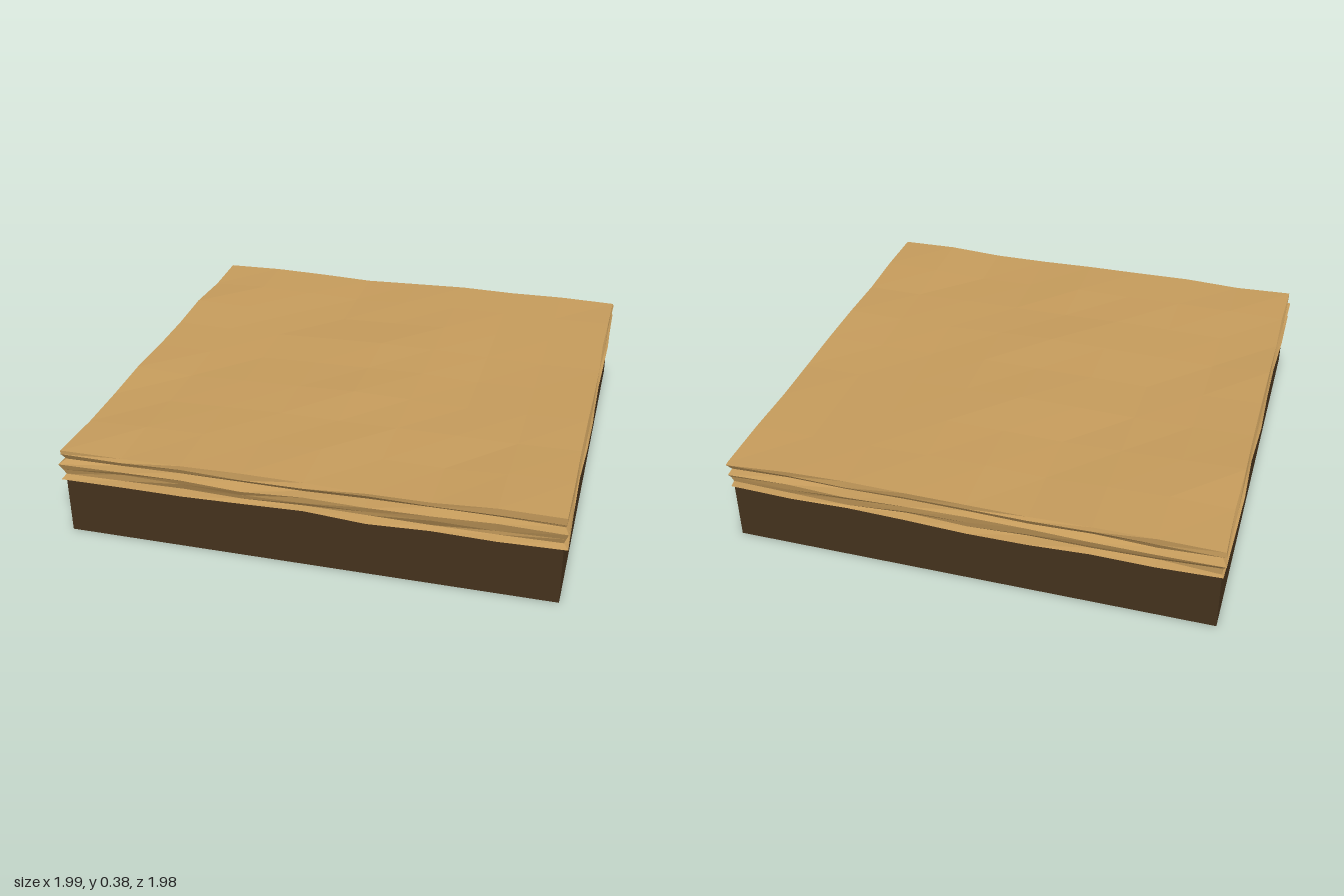
import * as THREE from 'three';

// Repeatable value in -1..1 for a lattice point
function hash(i, j, k) {
  const s = Math.sin(i * 127.1 + j * 311.7 + k * 74.7) * 43758.5453;
  return (s - Math.floor(s)) * 2 - 1;
}

const HALF = 0.975, CELLS = 8;
const ROW_Y = [0.242, 0.262, 0.285, 0.308, 0.33, 0.35, 0.37]; // height of each rock layer
const ROW_OUT = [0.012, -0.004, 0.004, 0.014, -0.004, 0.01, 0.005]; // ledges and grooves

// Layered sand slab: a subdivided box whose rim is pushed in and out row by row
function sandGeometry() {
  const rows = ROW_Y.length - 1;
  const geo = new THREE.BoxGeometry(2, 2, 2, CELLS, rows, CELLS);
  const pos = geo.attributes.position;
  for (let v = 0; v < pos.count; v++) {
    const x = pos.getX(v), z = pos.getZ(v);
    const i = Math.round((x + 1) * CELLS / 2);
    const k = Math.round((z + 1) * CELLS / 2);
    const j = Math.round((pos.getY(v) + 1) * rows / 2);
    const rimX = Math.abs(x) > 0.99 ? Math.sign(x) : 0;
    const rimZ = Math.abs(z) > 0.99 ? Math.sign(z) : 0;
    const out = ROW_OUT[j] + 0.005 * hash(i, j, k);
    // Low dunes on top, slight tilt in the layers below
    const dune = 0.005 * Math.sin(i * 1.25 + k * 0.5 + 0.6) + 0.005 * hash(i, 9, k);
    const y = ROW_Y[j] + (j === rows ? dune : 0.007 * hash(i, j + 20, k));
    pos.setXYZ(v, x * HALF + rimX * out, y, z * HALF + rimZ * out);
  }
  geo.computeVertexNormals();
  return geo;
}

export function createModel() {
  const group = new THREE.Group();
  group.name = 'sandTile';

  // Plain dark earth block
  const base = new THREE.Mesh(
    new THREE.BoxGeometry(HALF * 2, 0.25, HALF * 2),
    new THREE.MeshStandardMaterial({ color: 0x46331d, flatShading: true })
  );
  base.name = 'earthBase';
  base.position.y = 0.125;

  const sand = new THREE.Mesh(
    sandGeometry(),
    new THREE.MeshStandardMaterial({ color: 0xc69c5c, flatShading: true })
  );
  sand.name = 'sandLayers';

  group.add(base, sand);
  return group;
}
